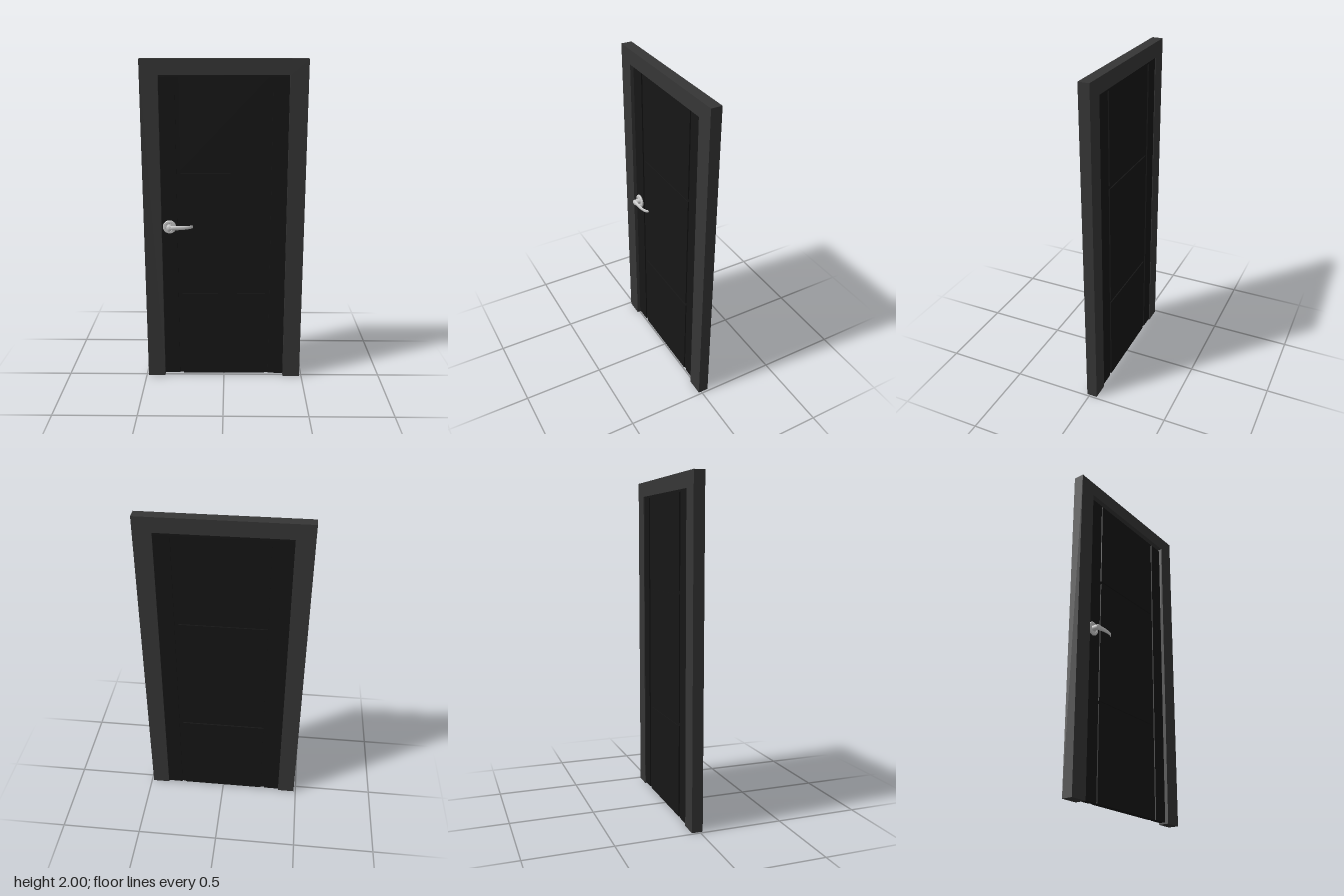
import * as THREE from 'three';

const frameMat = new THREE.MeshStandardMaterial({ color: 0x363636 });
const leafMat = new THREE.MeshStandardMaterial({ color: 0x161616 });
const metalMat = new THREE.MeshStandardMaterial({ color: 0xcccccc });

function add(parent, name, geometry, material) {
  const mesh = new THREE.Mesh(geometry, material);
  mesh.name = name;
  parent.add(mesh);
  return mesh;
}

// Box given by its limits on each axis
function slab(parent, name, [x0, x1], [y0, y1], [z0, z1], material) {
  const mesh = add(parent, name, new THREE.BoxGeometry(x1 - x0, y1 - y0, z1 - z0), material);
  mesh.position.set((x0 + x1) / 2, (y0 + y1) / 2, (z0 + z1) / 2);
}

// Lever: elliptical sections swept along a curve in the xz plane
function leverGeometry() {
  // x, z, half thickness, half height, y offset
  const stations = [
    [-0.336, 0.034, 0.011, 0.016, 0.001], [-0.312, 0.035, 0.011, 0.015, 0.002],
    [-0.285, 0.037, 0.007, 0.0135, 0.003], [-0.25, 0.0365, 0.005, 0.012, 0.004],
    [-0.22, 0.032, 0.004, 0.011, 0.005], [-0.2, 0.0245, 0.0035, 0.01, 0.006],
    [-0.19, 0.015, 0.003, 0.009, 0.006], [-0.1885, 0.012, 0.0015, 0.005, 0.006],
  ];
  const path = new THREE.CatmullRomCurve3(stations.map(([x, z]) => new THREE.Vector3(x, 0, z)));
  const rows = 28, sides = 20, pos = [], index = [];
  for (let i = 0; i <= rows; i++) {
    const t = i / rows, f = t * (stations.length - 1);
    const k = Math.min(Math.floor(f), stations.length - 2);
    const mix = (n) => THREE.MathUtils.lerp(stations[k][n], stations[k + 1][n], f - k);
    const p = path.getPoint(t), d = path.getTangent(t);
    for (let j = 0; j < sides; j++) {
      const a = (j / sides) * Math.PI * 2;
      const out = Math.cos(a) * mix(2);
      pos.push(p.x - d.z * out, 1 + mix(4) + Math.sin(a) * mix(3), p.z + d.x * out);
      if (i < rows) {
        const b = i * sides + j, c = i * sides + ((j + 1) % sides);
        index.push(b, b + sides, c, c, b + sides, c + sides);
      }
    }
  }
  // End caps
  for (let j = 1; j < sides - 1; j++) {
    const e = rows * sides;
    index.push(0, j, j + 1, e, e + j + 1, e + j);
  }
  const g = new THREE.BufferGeometry();
  g.setAttribute('position', new THREE.Float32BufferAttribute(pos, 3));
  g.setIndex(index);
  g.computeVertexNormals();
  return g;
}

export function createModel() {
  const door = new THREE.Group();
  door.name = 'door';

  // Frame: two jambs and a head in one outline
  const outline = new THREE.Shape([
    [-0.487, 0], [-0.38, 0], [-0.38, 1.91], [0.38, 1.91],
    [0.38, 0], [0.487, 0], [0.487, 2], [-0.487, 2],
  ].map(([x, y]) => new THREE.Vector2(x, y)));
  const frame = new THREE.ExtrudeGeometry(outline, { depth: 0.065, bevelEnabled: false });
  frame.translate(0, 0, -0.047);
  add(door, 'frame', frame, frameMat);

  // Leaf: a core with raised stiles and panels that leave grooves on both faces
  const leaf = new THREE.Group();
  leaf.name = 'leaf';
  door.add(leaf);
  const thick = [-0.043, -0.003], bottom = 0.01, top = 1.897;
  slab(leaf, 'core', [-0.379, 0.379], [bottom, top], [-0.036, -0.01], leafMat);
  slab(leaf, 'topStop', [-0.38, 0.38], [top, 1.91], [-0.043, -0.012], leafMat);
  for (const s of [-1, 1]) {
    const xs = [s * 0.38, s * 0.285].sort((a, b) => a - b);
    slab(leaf, s < 0 ? 'rightStile' : 'leftStile', xs, [bottom, top], thick, leafMat);
  }
  const rows = [['lowerPanel', bottom, 0.562], ['middlePanel', 0.582, 1.33], ['upperPanel', 1.35, top]];
  for (const [name, y0, y1] of rows) slab(leaf, name, [-0.26, 0.26], [y0, y1], thick, leafMat);

  // Handle on the front face: stepped round rose, neck and lever
  const handle = new THREE.Group();
  handle.name = 'handle';
  door.add(handle);
  const turned = (name, profile) => {
    const g = new THREE.LatheGeometry(profile.map(([r, h]) => new THREE.Vector2(r, h)), 40);
    g.rotateX(Math.PI / 2);
    add(handle, name, g, metalMat).position.set(-0.332, 1, 0);
  };
  turned('rose', [[0.041, -0.004], [0.041, 0.004], [0.041, 0.004], [0.038, 0.007], [0.038, 0.007],
    [0.026, 0.008], [0.026, 0.008], [0.024, 0.005], [0.024, 0.005], [0, 0.005]]);
  turned('neck', [[0.018, 0], [0.017, 0.012], [0.0165, 0.04], [0.0165, 0.04], [0.0145, 0.0445], [0, 0.046]]);
  add(handle, 'lever', leverGeometry(), metalMat);

  return door;
}
